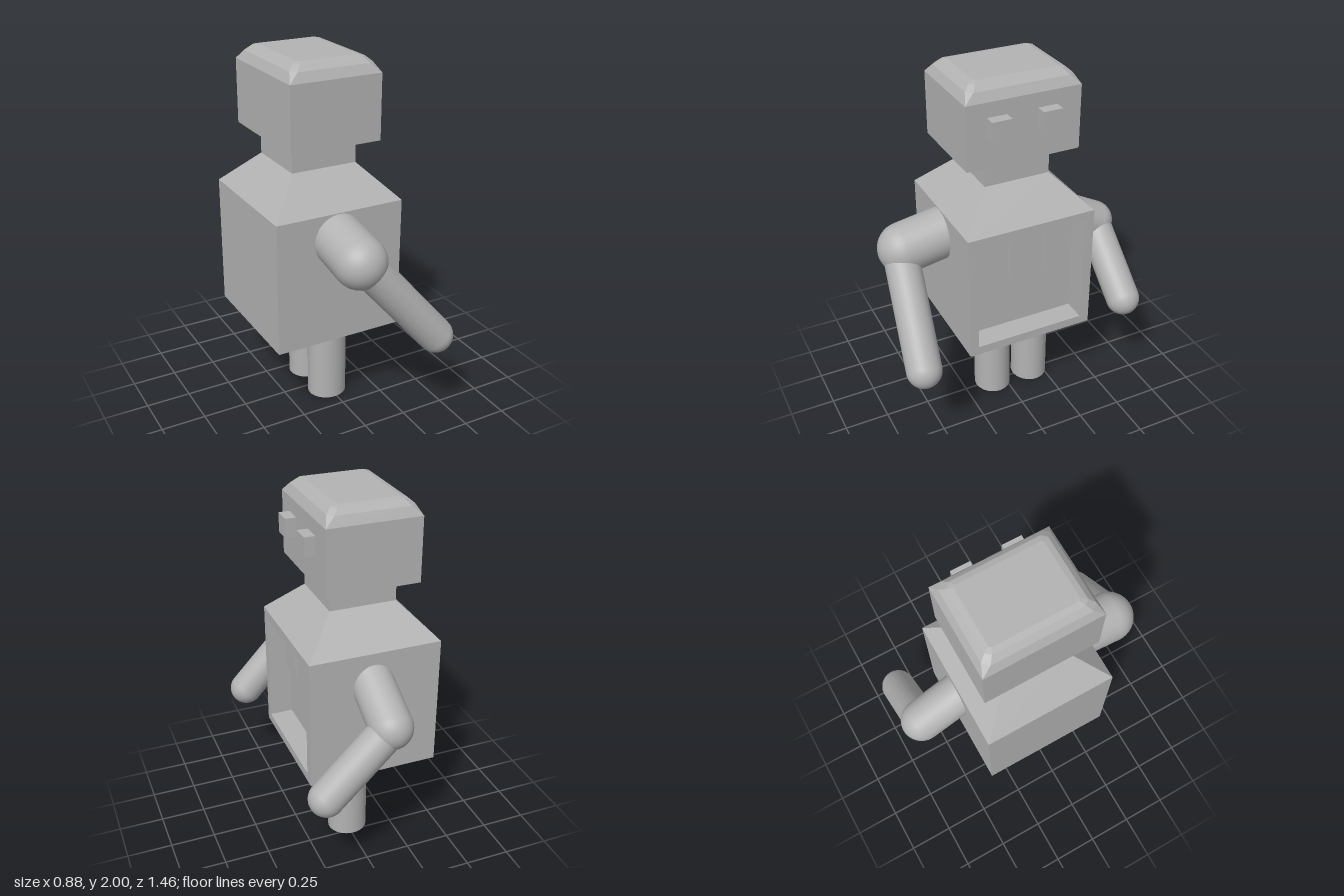
import * as THREE from 'three';

const casing = new THREE.MeshStandardMaterial({ color: 0xb3b3b3 });
casing.name = 'grey casing';

// Rectangular ring at height y; cut slices the corners off
function ring(y, x0, x1, z0, z1, cut = 0) {
  return [
    [x1 - cut, y, z1], [x1, y, z1 - cut], [x1, y, z0 + cut], [x1 - cut, y, z0],
    [x0 + cut, y, z0], [x0, y, z0 + cut], [x0, y, z1 - cut], [x0 + cut, y, z1],
  ];
}

// Flat-shaded solid through rings listed from bottom to top
function loft(rings) {
  const n = rings[0].length, index = [];
  for (let r = 0; r < rings.length - 1; r++) {
    for (let i = 0; i < n; i++) {
      const j = (i + 1) % n, a = r * n + i, b = r * n + j;
      index.push(a, b, b + n, a, b + n, a + n);
    }
  }
  const top = (rings.length - 1) * n;
  for (let i = 1; i < n - 1; i++) {
    index.push(top, top + i, top + i + 1, 0, i + 1, i);
  }
  const indexed = new THREE.BufferGeometry();
  indexed.setAttribute('position', new THREE.Float32BufferAttribute(rings.flat(2), 3));
  indexed.setIndex(index);
  const geometry = indexed.toNonIndexed();
  geometry.computeVertexNormals();
  return geometry;
}

function add(parent, name, geometry) {
  const mesh = new THREE.Mesh(geometry, casing);
  mesh.name = name;
  parent.add(mesh);
  return mesh;
}

// Box given by its limits
function block(parent, name, x0, x1, y0, y1, z0, z1) {
  add(parent, name, new THREE.BoxGeometry(x1 - x0, y1 - y0, z1 - z0))
    .position.set((x0 + x1) / 2, (y0 + y1) / 2, (z0 + z1) / 2);
}

// Round rod between two points, with a ball on its far end
function limb(parent, name, from, to, radius, ballName) {
  const a = new THREE.Vector3(...from), b = new THREE.Vector3(...to);
  const dir = b.clone().sub(a);
  const rod = add(parent, name, new THREE.CylinderGeometry(radius, radius, dir.length(), 32));
  rod.position.copy(a).add(b).multiplyScalar(0.5);
  rod.quaternion.setFromUnitVectors(new THREE.Vector3(0, 1, 0), dir.normalize());
  const ball = add(parent, ballName, new THREE.SphereGeometry(radius, 32, 20));
  ball.position.copy(b);
  ball.quaternion.copy(rod.quaternion);
}

export function createModel() {
  const robot = new THREE.Group();
  robot.name = 'robot';

  // Torso: solid back and an open frame around the chest recess
  const torso = new THREE.Group();
  torso.name = 'torso';
  robot.add(torso);
  block(torso, 'torsoBack', -0.44, 0.16, 0.5, 1.235, -0.395, 0.34);

  const rect = (path, s0, s1, y0, y1) => path
    .moveTo(s0, y0).lineTo(s1, y0).lineTo(s1, y1).lineTo(s0, y1).closePath();
  const outline = new THREE.Shape();
  rect(outline, -0.34, 0.395, 0.5, 1.235);
  const opening = new THREE.Path();
  rect(opening, -0.29, 0.34, 0.55, 1.18);
  outline.holes.push(opening);
  const frame = add(torso, 'chestFrame',
    new THREE.ExtrudeGeometry(outline, { depth: 0.13, bevelEnabled: false }));
  frame.rotation.y = Math.PI / 2;
  frame.position.x = 0.16;

  // Three raised plates inside the recess
  for (const z of [0.182, -0.028, -0.238]) {
    block(torso, 'chestPlate', 0.15, 0.195, 0.885, 1.155, z - 0.08, z + 0.08);
  }

  // Sloped shoulders and neck
  add(torso, 'shoulders', loft([
    ring(1.235, -0.44, 0.29, -0.395, 0.34),
    ring(1.42, -0.26, 0.11, -0.21, 0.16),
  ]));
  block(robot, 'neck', -0.26, 0.11, 1.41, 1.57, -0.21, 0.16);

  // Head with a rounded-off top
  const headRing = (y, inset, cut) =>
    ring(y, -0.33 + inset, 0.18 - inset, -0.345 + inset, 0.29 - inset, cut);
  add(robot, 'head', loft([
    headRing(1.565, 0, 0), headRing(1.915, 0, 0),
    headRing(1.965, 0.025, 0.03), headRing(1.992, 0.055, 0.025), headRing(2, 0.085, 0.01),
  ]));

  // Square eyes
  for (const z of [0.122, -0.155]) {
    block(robot, 'eye', 0.17, 0.24, 1.73, 1.835, z - 0.054, z + 0.054);
  }

  // Legs
  for (const z of [0.072, -0.173]) {
    const leg = add(robot, 'leg', new THREE.CylinderGeometry(0.105, 0.105, 0.52, 32));
    leg.position.set(-0.01, 0.26, z);
    leg.scale.x = 1.06;
  }

  // Arms: the one on +z is thicker and hangs lower at the hand
  const arms = [
    { shoulder: [-0.085, 1.105, 0.24], elbow: [-0.085, 1.05, 0.552], upper: 0.141,
      start: [-0.08, 1.05, 0.575], hand: [0.342, 0.555, 0.63] },
    { shoulder: [-0.065, 1.09, -0.3], elbow: [-0.065, 0.925, -0.615], upper: 0.115,
      start: [-0.065, 0.925, -0.615], hand: [0.29, 0.585, -0.625] },
  ];
  for (const a of arms) {
    const arm = new THREE.Group();
    arm.name = 'arm';
    robot.add(arm);
    limb(arm, 'upperArm', a.shoulder, a.elbow, a.upper, 'elbow');
    limb(arm, 'forearm', a.start, a.hand, 0.096, 'hand');
  }

  return robot;
}
